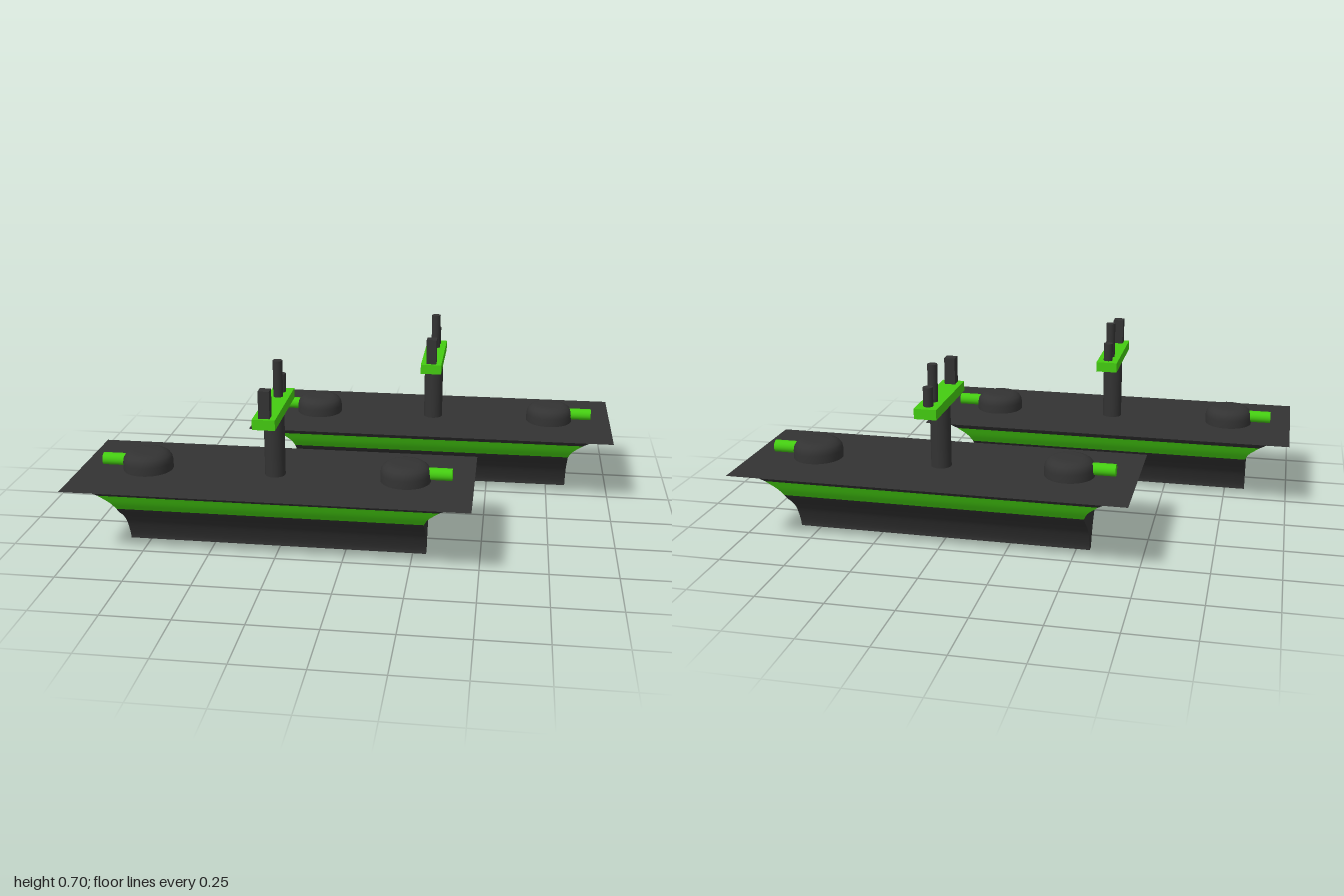
import * as THREE from 'three';
import { mergeGeometries } from 'three/addons/utils/BufferGeometryUtils.js';

const dark = new THREE.MeshStandardMaterial({ color: 0x333333, side: THREE.DoubleSide });
const green = new THREE.MeshStandardMaterial({ color: 0x44cc11, side: THREE.DoubleSide });

function add(parent, name, geometry, material, x = 0, y = 0, z = 0) {
  const mesh = new THREE.Mesh(geometry, material);
  mesh.name = name;
  mesh.position.set(x, y, z);
  parent.add(mesh);
  return mesh;
}

// Hull rings from deck to keel: half length, height, half width
const rings = [
  [0.675, 0.285, 0.224], [0.645, 0.262, 0.209], [0.62, 0.245, 0.196],
  [0.58, 0.21, 0.178], [0.565, 0.18, 0.158], [0.565, 0.155, 0.13],
  [0.565, 0.125, 0.09], [0.565, 0.09, 0.055], [0.565, 0.05, 0.032],
  [0.565, 0.015, 0.018], [0.565, 0, 0.016],
];

// Four mitred sides, smooth down the flare and sharp at the corners
function hullBand(from, to, closed) {
  const part = rings.slice(from, to + 1).map((r) => new THREE.Vector3(...r));
  const points = part.length > 2 ? new THREE.CatmullRomCurve3(part).getPoints((part.length - 1) * 4) : part;
  const corners = [[1, 1], [1, -1], [-1, -1], [-1, 1]];
  const geometry = (position, index) => {
    const g = new THREE.BufferGeometry();
    g.setAttribute('position', new THREE.Float32BufferAttribute(position, 3));
    g.setIndex(index);
    g.computeVertexNormals();
    return g;
  };
  const sides = corners.map((a, i) => {
    const b = corners[(i + 1) % 4], position = [], index = [];
    points.forEach((p, k) => {
      for (const c of [a, b]) position.push(c[0] * p.x, p.y, c[1] * p.z);
      if (k) {
        const n = 2 * k;
        index.push(n - 2, n, n - 1, n - 1, n, n + 1);
      }
    });
    return geometry(position, index);
  });
  if (closed) {
    const p = points[points.length - 1];
    sides.push(geometry(corners.flatMap((c) => [c[0] * p.x, p.y, c[1] * p.z]), [0, 3, 2, 0, 2, 1]));
  }
  return mergeGeometries(sides);
}

function createShip(name) {
  const ship = new THREE.Group();
  ship.name = name;

  // Flared hull with a coloured stripe
  add(ship, 'hullRim', hullBand(0, 2), dark);
  add(ship, 'hullStripe', hullBand(2, 4), green);
  add(ship, 'lowerHull', hullBand(4, 10, true), dark);

  // Wide, thin deck
  add(ship, 'deck', new THREE.PlaneGeometry(1.47, 0.545).rotateX(-Math.PI / 2), dark, 0, 0.285);

  // Domed turrets with outward barrels
  const dome = [[0.093, 0], [0.093, 0.03], [0.09, 0.045], [0.083, 0.056],
    [0.07, 0.065], [0.052, 0.07], [0, 0.07]].map((p) => new THREE.Vector2(...p));
  for (const s of [-1, 1]) {
    const turret = new THREE.Group();
    turret.name = s < 0 ? 'rightTurret' : 'leftTurret';
    turret.position.set(s * 0.484, 0.285, 0);
    add(turret, 'turretDome', new THREE.LatheGeometry(dome, 40), dark);
    add(turret, 'barrel', new THREE.CylinderGeometry(0.023, 0.023, 0.12, 24).rotateZ(Math.PI / 2),
      green, s * 0.111, 0.03);
    ship.add(turret);
  }

  // Mast, crossbar and the instruments on it
  add(ship, 'mast', new THREE.CylinderGeometry(0.038, 0.038, 0.245, 32), dark, 0, 0.4025);
  add(ship, 'crossbar', new THREE.BoxGeometry(0.082, 0.038, 0.376), green, 0, 0.541);
  add(ship, 'tallPost', new THREE.CylinderGeometry(0.018, 0.018, 0.14, 20), dark, 0, 0.628, -0.085);
  add(ship, 'shortPost', new THREE.CylinderGeometry(0.018, 0.018, 0.072, 20), dark, 0, 0.594, -0.145);
  add(ship, 'blockPost', new THREE.BoxGeometry(0.04, 0.102, 0.04), dark, 0, 0.609, 0.155);
  return ship;
}

export function createModel() {
  const model = new THREE.Group();
  model.name = 'twoShips';
  for (const s of [-1, 1]) {
    const ship = createShip(s < 0 ? 'frontShip' : 'rearShip');
    ship.position.set(s * 0.265, 0, s * -0.373);
    model.add(ship);
  }
  return model;
}
